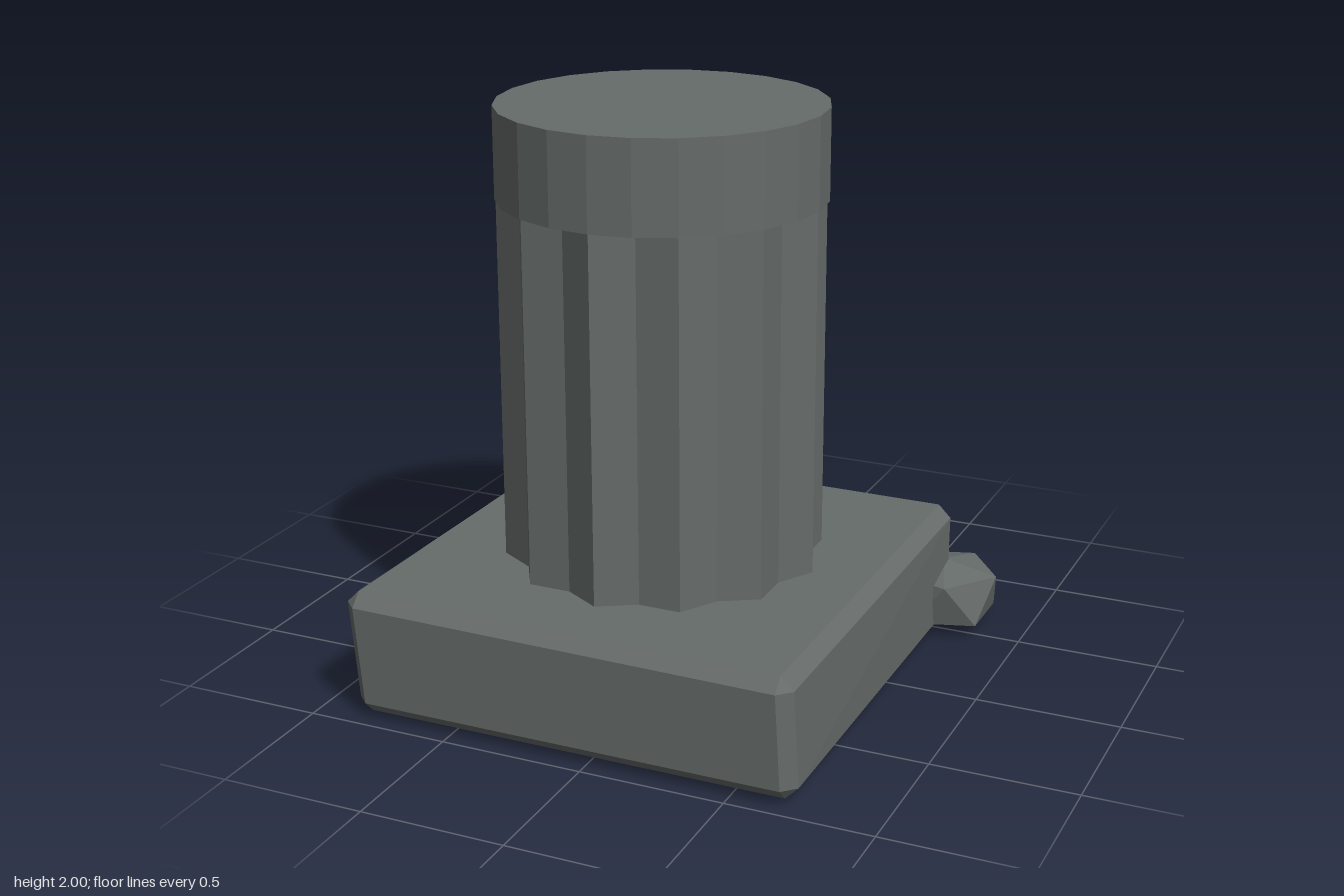
import * as THREE from 'three';
import { ConvexGeometry } from 'three/addons/geometries/ConvexGeometry.js';

const stone = new THREE.MeshStandardMaterial({ color: 0x666c6a });
stone.name = 'grey stone';

function part(name, geometry) {
  const mesh = new THREE.Mesh(geometry, stone);
  mesh.name = name;
  return mesh;
}

// Gives every face its own flat normal
function faceted(geometry) {
  const flat = geometry.toNonIndexed();
  flat.computeVertexNormals();
  return flat;
}

// Slightly crooked block: each corner is cut back along its three directions
function chamferedBlock(corners, c) {
  const points = [];
  for (const [x, y, z] of corners) {
    const dx = -Math.sign(x) * c;
    const dy = y > 0.2 ? -c : c;
    const dz = -Math.sign(z) * c;
    points.push(
      new THREE.Vector3(x, y + dy, z + dz),
      new THREE.Vector3(x + dx, y, z + dz),
      new THREE.Vector3(x + dx, y + dy, z)
    );
  }
  return new ConvexGeometry(points);
}

// Fluted shaft: alternate corners are pulled in to form twelve V grooves
function flutedShaft(radius, valley, height) {
  const geometry = new THREE.CylinderGeometry(radius, radius, height, 24, 1, true);
  const pos = geometry.attributes.position;
  for (let i = 0; i < pos.count; i++) {
    const step = Math.round(Math.atan2(pos.getX(i), pos.getZ(i)) / (Math.PI / 12));
    if (step % 2 !== 0) {
      pos.setX(i, pos.getX(i) * valley / radius);
      pos.setZ(i, pos.getZ(i) * valley / radius);
    }
  }
  return faceted(geometry);
}

// Twenty-sided boulder: an apex, two staggered rings of five, and a foot
function boulder({ x, z, rx, rz, levels }) {
  const [foot, low, high, apex] = levels;
  const points = [new THREE.Vector3(x, apex, z), new THREE.Vector3(x, foot, z)];
  for (let i = 0; i < 5; i++) {
    const a = i * Math.PI * 2 / 5;
    points.push(new THREE.Vector3(x + rx * Math.cos(a), high, z + rz * Math.sin(a)));
    points.push(new THREE.Vector3(x - rx * Math.cos(a), low, z - rz * Math.sin(a)));
  }
  return new ConvexGeometry(points);
}

export function createModel() {
  const model = new THREE.Group();
  model.name = 'brokenColumn';

  // Plinth
  model.add(part('plinth', chamferedBlock([
    [-0.89, 0.445, 0.965], [0.705, 0.44, 0.98], [-0.865, 0.01, 0.955], [0.72, 0.02, 0.97],
    [-0.86, 0.45, -0.625], [0.705, 0.447, -0.625], [-0.845, 0.005, -0.615], [0.705, 0.002, -0.61],
  ], 0.045)));

  // Column
  const column = new THREE.Group();
  column.name = 'column';
  column.position.set(-0.082, 0, 0.17);
  const shaft = part('flutedShaft', flutedShaft(0.546, 0.49, 1.3));
  shaft.position.y = 1.05;
  const cap = part('columnCap', faceted(new THREE.CylinderGeometry(0.55, 0.55, 0.31, 24)));
  cap.position.y = 1.845;
  column.add(shaft, cap);
  model.add(column);

  // Fallen stones behind the plinth
  const stones = [
    { x: -0.55, z: -0.81, rx: 0.195, rz: 0.15, levels: [0.015, 0.05, 0.19, 0.295] },
    { x: 0.305, z: -0.825, rx: 0.205, rz: 0.162, levels: [0.02, 0.055, 0.2, 0.315] },
    { x: 0.688, z: -0.575, rx: 0.198, rz: 0.19, levels: [0.02, 0.05, 0.205, 0.245] },
  ];
  stones.forEach((s, i) => model.add(part('fallenStone' + (i + 1), boulder(s))));

  return model;
}
